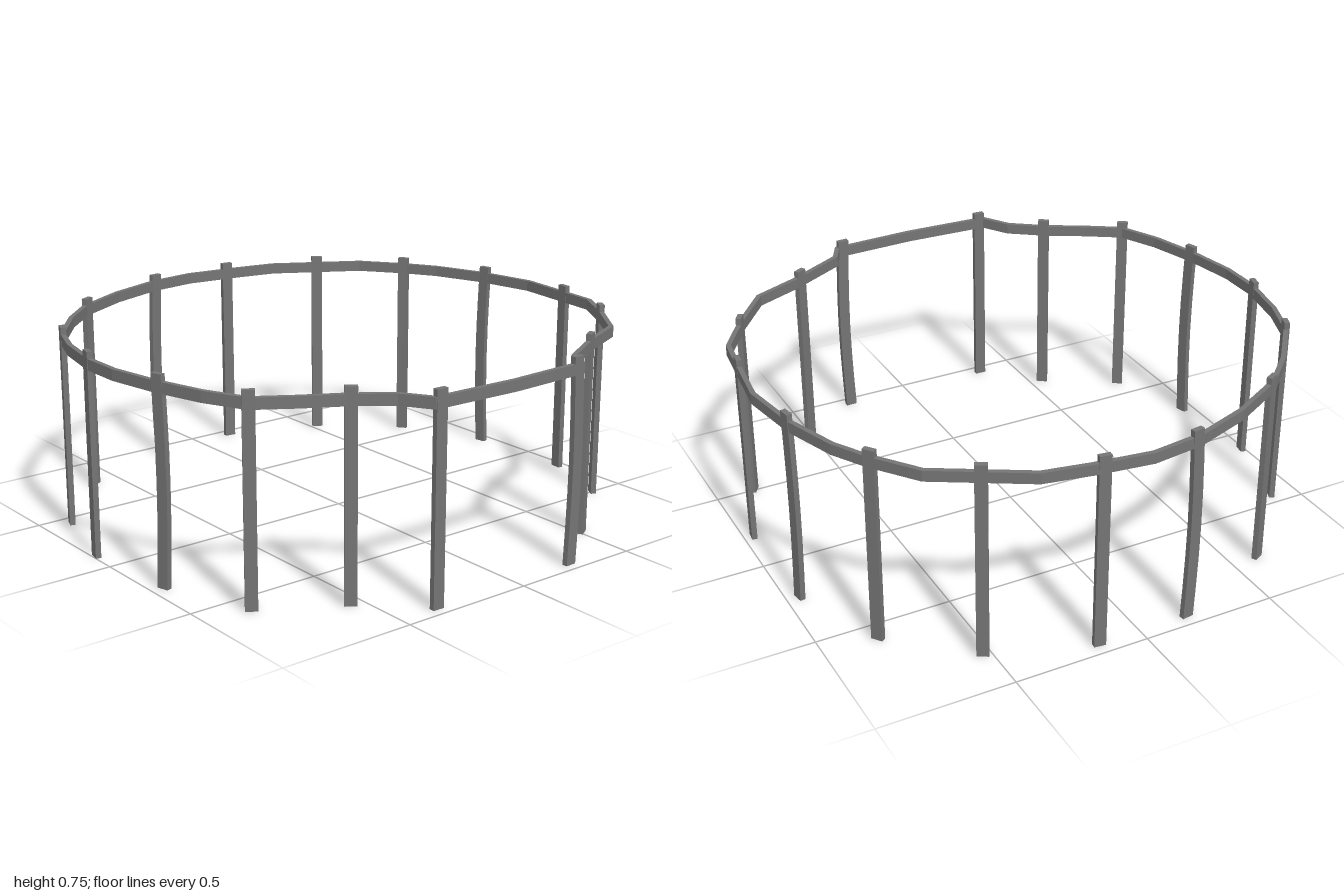
import * as THREE from 'three';

// Rail centre line seen from above, as (x, z), going back -> left -> front -> right
const PATH = [
  [-0.01, -0.975], [0.2, -0.947], [0.37, -0.915], [0.69, -0.73], [0.81, -0.57], [0.88, -0.45],
  [0.95, -0.25], [0.99, -0.02], [0.947, 0.35], [0.845, 0.51], [0.71, 0.685], [0.53, 0.763],
  [0.32, 0.88], [0.28, 0.957], [-0.04, 0.97], [-0.37, 0.957], [-0.435, 0.853], [-0.555, 0.765],
  [-0.7, 0.683], [-0.83, 0.6], [-0.9, 0.45], [-0.955, 0.26], [-0.99, 0.065], [-0.99, -0.095],
  [-0.95, -0.295], [-0.89, -0.455], [-0.75, -0.635], [-0.62, -0.76], [-0.41, -0.875], [-0.2, -0.95],
].map(([x, z]) => new THREE.Vector2(x, z));

// Posts as (x, z, bowed)
const POSTS = [
  [0.16, -0.95], [0.53, -0.82], [0.8, -0.575], [0.955, -0.24, true], [0.965, 0.2], [0.855, 0.505],
  [0.51, 0.775], [0.26, 0.96, true], [-0.35, 0.96], [-0.56, 0.775], [-0.83, 0.6], [-0.95, 0.275, true],
  [-0.985, -0.11], [-0.89, -0.445], [-0.605, -0.765], [-0.19, -0.95, true],
];

const POST_HEIGHT = 0.745;
const at = (i) => PATH[(i + PATH.length) % PATH.length];

// Mitred offset of the closed centre line
function offsetPath(d) {
  return PATH.map((p, i) => {
    const a = p.clone().sub(at(i - 1)).normalize();
    const b = at(i + 1).clone().sub(p).normalize();
    const n = new THREE.Vector2(a.y + b.y, -a.x - b.x).normalize();
    const miter = n.x * a.y - n.y * a.x;
    return p.clone().addScaledVector(n, d / miter);
  });
}

function makeRail(material) {
  const shape = new THREE.Shape(offsetPath(0.009));
  shape.holes.push(new THREE.Path(offsetPath(-0.009)));
  const geometry = new THREE.ExtrudeGeometry(shape, { depth: 0.04, bevelEnabled: false });
  geometry.rotateX(Math.PI / 2);
  const rail = new THREE.Mesh(geometry, material);
  rail.name = 'topRail';
  rail.position.y = 0.72;
  return rail;
}

// Closest spot on the rail and the rail's direction there
function snapToRail(x, z) {
  const target = new THREE.Vector2(x, z);
  let best = { distance: Infinity };
  PATH.forEach((p, i) => {
    const edge = at(i + 1).clone().sub(p);
    const t = THREE.MathUtils.clamp(target.clone().sub(p).dot(edge) / edge.lengthSq(), 0, 1);
    const point = p.clone().addScaledVector(edge, t);
    const distance = point.distanceTo(target);
    if (distance < best.distance) best = { distance, point, yaw: Math.atan2(-edge.y, edge.x) };
  });
  return best;
}

function makePost([x, z, bowed], material) {
  const geometry = new THREE.BoxGeometry(0.043, POST_HEIGHT, 0.02, 1, bowed ? 6 : 1, 1);
  geometry.translate(0, POST_HEIGHT / 2, 0);
  if (bowed) {
    // Warped plank: the middle leans sideways along the rail
    const pos = geometry.attributes.position;
    for (let i = 0; i < pos.count; i++) {
      const bend = Math.sin((Math.PI * pos.getY(i)) / POST_HEIGHT);
      pos.setX(i, pos.getX(i) + 0.004 - 0.011 * bend);
    }
    geometry.computeVertexNormals();
  }
  const { point, yaw } = snapToRail(x, z);
  const post = new THREE.Mesh(geometry, material);
  post.name = bowed ? 'bowedPost' : 'post';
  post.position.set(point.x, 0, point.y);
  post.rotation.y = yaw;
  return post;
}

export function createModel() {
  const material = new THREE.MeshStandardMaterial({ color: 0x747474, flatShading: true });
  const fence = new THREE.Group();
  fence.name = 'roundFence';
  fence.add(makeRail(material));

  const posts = new THREE.Group();
  posts.name = 'posts';
  POSTS.forEach((p) => posts.add(makePost(p, material)));
  fence.add(posts);
  return fence;
}
